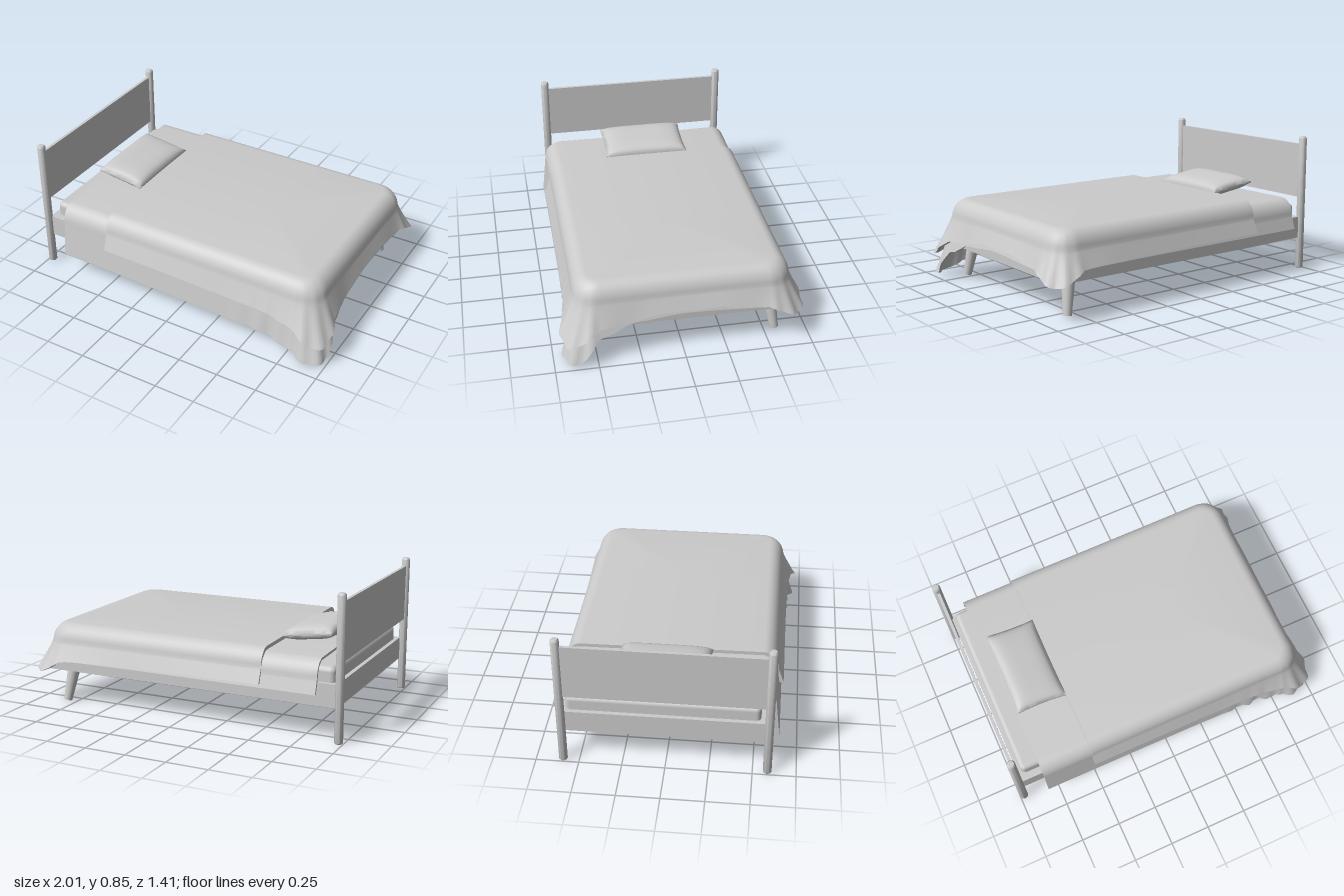
import * as THREE from 'three';
import { toCreasedNormals } from 'three/addons/utils/BufferGeometryUtils.js';
import { RoundedBoxGeometry } from 'three/addons/geometries/RoundedBoxGeometry.js';

const grey = new THREE.MeshStandardMaterial({ color: 0xcccccc });

function add(group, name, geometry, x = 0, y = 0, z = 0) {
  const mesh = new THREE.Mesh(geometry, grey);
  mesh.name = name;
  mesh.position.set(x, y, z);
  group.add(mesh);
  return mesh;
}

// Smooth interpolation through [position, value] keys
function sample(keys, p) {
  let i = 0;
  while (i < keys.length - 2 && p > keys[i + 1][0]) i++;
  const [a, va] = keys[i], [b, vb] = keys[i + 1];
  return THREE.MathUtils.lerp(va, vb, THREE.MathUtils.smoothstep(p, a, b));
}

const bump = (p, centre, width) => Math.exp(-(((p - centre) / width) ** 2));

// Edge of the flat bed top. p: 0-1 back side, 1-2 corner, 2-3 foot, 3-4 corner, 4-5 front side
function bedEdge(p, headX) {
  const r = 0.06, cx = 0.77, zb = -0.485, zf = 0.47;
  const k = Math.min(Math.floor(p), 4), f = p - k;
  if (k === 0) return { x: headX + (cx - headX) * f, z: zb - r, nx: 0, nz: -1 };
  if (k === 2) return { x: cx + r, z: zb + (zf - zb) * f, nx: 1, nz: 0 };
  if (k === 4) return { x: cx + (headX - cx) * f, z: zf + r, nx: 0, nz: 1 };
  const a = (k === 1 ? -Math.PI / 2 : 0) + f * Math.PI / 2;
  const nx = Math.cos(a), nz = Math.sin(a);
  return { x: cx + r * nx, z: (k === 1 ? zb : zf) + r * nz, nx, nz };
}

// Cloth shell draped over both long sides and the foot
function drape({ headX, slope, topY, thick, spread, hem, frontRipple }) {
  const counts = [24, 20, 20, 20, 40], ps = [0];
  counts.forEach((n, k) => { for (let i = 1; i <= n; i++) ps.push(k + i / n); });
  const bend = 8, fall = 10, rows = bend + fall + 2, M = rows * 2;
  const pos = [], index = [];

  for (const p of ps) {
    const e = bedEdge(p, headX), hemY = sample(hem, p);
    const flare = 0.075 * bump(p, 1.5, 0.4) + 0.1 * bump(p, 3.5, 0.4);
    const ripple = 0.01 * Math.sin(p * 24) * (bump(p, 1.5, 0.4) + bump(p, 3.5, 0.5))
      + frontRipple * Math.sin(p * 75) * bump(p, 4.1, 0.09);
    for (let m = 0; m < M; m++) {
      const inner = m >= rows, j = inner ? M - 1 - m : m;
      let x, y, z;
      if (j === 0) {
        x = Math.min(e.x, 0.3); z = 0; y = topY - (inner ? thick : 0);
      } else {
        const q = Math.min((j - 1) / bend, 1), t = Math.max((j - 1 - bend) / fall, 0);
        const th = q * Math.PI / 2;
        let off = 0.09 * Math.sin(th) + (spread - 0.09) * t;
        off += (flare + ripple) * (0.12 * q * q + 0.88 * t ** 1.2);
        y = topY - 0.11 * (1 - Math.cos(th));
        y += (hemY - (topY - 0.11)) * t;
        if (inner) { off -= thick * Math.sin(th); y -= thick * Math.cos(th); }
        x = e.x + e.nx * off; z = e.z + e.nz * off;
      }
      if (x < 0.3) x += slope * z * (0.3 - x) / (0.3 - headX);
      pos.push(x, y, z);
    }
  }
  const last = (ps.length - 1) * M;
  for (let i = 0; i < ps.length - 1; i++) {
    for (let j = 0; j < M - 1; j++) {
      const a = i * M + j, b = a + M;
      index.push(a, b, b + 1, a, b + 1, a + 1);
    }
  }
  // Close the cut edge at the head
  for (let j = 0; j < rows - 1; j++) {
    const m = M - 1 - j;
    index.push(j, j + 1, m - 1, j, m - 1, m);
    index.push(last + j, last + m - 1, last + j + 1, last + j, last + m, last + m - 1);
  }
  const g = new THREE.BufferGeometry();
  g.setAttribute('position', new THREE.Float32BufferAttribute(pos, 3));
  g.setIndex(index);
  return toCreasedNormals(g, 0.9);
}

// Soft cushion: a box whose thickness fades toward the seam
function pillowGeometry(w, h, d) {
  const g = new THREE.BoxGeometry(2, 2, 2, 20, 2, 24), v = g.attributes.position;
  for (let i = 0; i < v.count; i++) {
    const a = v.getX(i), b = v.getZ(i);
    const puff = 0.12 + 0.88 * Math.sqrt((1 - a ** 4) * (1 - b ** 4));
    const pinch = 1 - 0.03 * (1 - a * a) * b * b;
    v.setXYZ(i, a * w / 2 * (1 - 0.02 * (1 - b * b)), v.getY(i) * puff * h / 2 - 0.02 * a, b * d / 2 * pinch);
  }
  return toCreasedNormals(g, 1.2);
}

export function createModel() {
  const bed = new THREE.Group();
  bed.name = 'bed';

  // Headboard with round posts
  const postProfile = [[0, 0], [0.021, 0], [0.025, 0.006], [0.025, 0.838], [0.018, 0.849], [0, 0.85]]
    .map(([x, y]) => new THREE.Vector2(x, y));
  for (const z of [-0.593, 0.585]) {
    add(bed, 'headPost', toCreasedNormals(new THREE.LatheGeometry(postProfile, 24), 0.6), -0.975, 0, z);
  }
  add(bed, 'headboard', new THREE.BoxGeometry(0.018, 0.34, 1.16), -0.975, 0.63, -0.004);

  // Frame and mattress
  add(bed, 'bedFrame', new THREE.BoxGeometry(1.86, 0.135, 1.18), -0.03, 0.2675, -0.008);
  add(bed, 'mattress', new RoundedBoxGeometry(1.76, 0.12, 1.11, 2, 0.03), -0.055, 0.362, -0.018);

  // Splayed, tapered foot legs
  const up = new THREE.Vector3(0, 1, 0);
  for (const [side, zTop, zFoot] of [['front', 0.512, 0.545], ['back', -0.53, -0.565]]) {
    const axis = new THREE.Vector3(0.78 - 0.815, 0.22, zTop - zFoot);
    const leg = add(bed, side + 'FootLeg', new THREE.CylinderGeometry(0.04, 0.026, axis.length(), 24),
      (0.78 + 0.815) / 2, 0.113, (zTop + zFoot) / 2);
    leg.quaternion.setFromUnitVectors(up, axis.normalize());
  }

  // Lower sheet, hanging lower along the front
  add(bed, 'sheet', drape({
    headX: -0.838, slope: 0.027, topY: 0.467, thick: 0.015, spread: 0.115, frontRipple: 0.016,
    hem: [[0, 0.28], [0.9, 0.28], [1.5, 0.21], [2.1, 0.265], [2.5, 0.275], [2.8, 0.25],
      [3, 0.18], [3.4, 0.02], [3.7, 0.02], [4, 0.065], [4.12, 0.1], [5, 0.13]],
  }));

  // Upper blanket
  add(bed, 'blanket', drape({
    headX: -0.512, slope: 0.016, topY: 0.495, thick: 0.022, spread: 0.125, frontRipple: 0.004,
    hem: [[0, 0.3], [0.9, 0.29], [1.5, 0.2], [2.05, 0.27], [2.3, 0.3], [2.6, 0.295],
      [2.95, 0.25], [3.5, 0.14], [4, 0.235], [4.15, 0.26], [5, 0.28]],
  }));

  // Pillow, leaning slightly up toward the head
  add(bed, 'pillow', pillowGeometry(0.31, 0.095, 0.535), -0.66, 0.515, -0.032);

  return bed;
}
